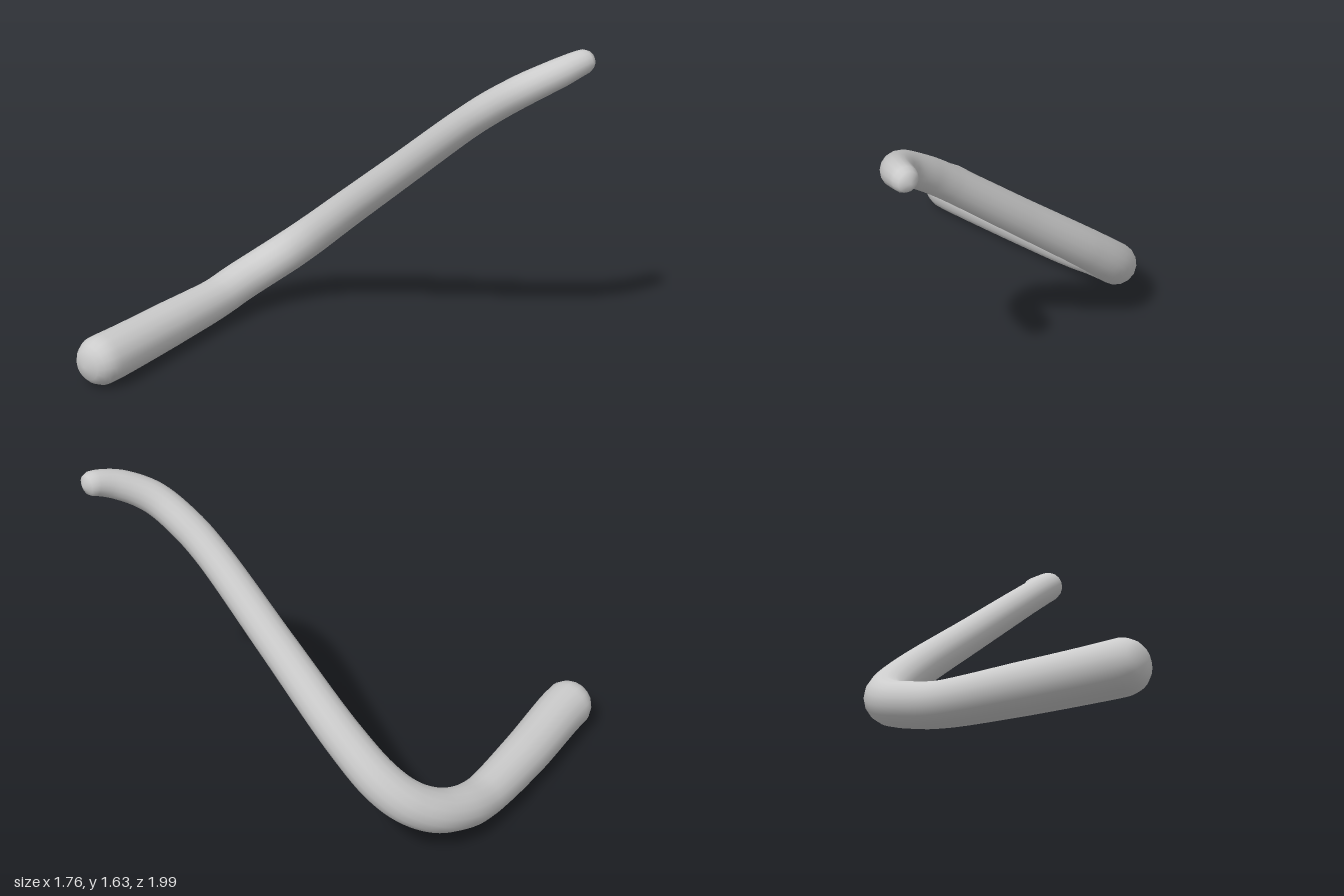
import * as THREE from 'three';
import { mergeVertices } from 'three/addons/utils/BufferGeometryUtils.js';

// Centre line of the bent rod with its radius: x, y, z, r
const STATIONS = [
  [-0.525, 0.138, 0.995, 0.125],
  [-0.555, 0.138, 0.83, 0.124],
  [-0.67, 0.135, 0.4, 0.117],
  [-0.76, 0.15, 0.0, 0.105],
  [-0.775, 0.185, -0.15, 0.105],
  [-0.755, 0.24, -0.3, 0.105],
  [-0.69, 0.32, -0.42, 0.105],
  [-0.59, 0.42, -0.495, 0.102],
  [-0.4, 0.59, -0.545, 0.096],
  [0.0, 0.92, -0.578, 0.087],
  [0.4, 1.25, -0.61, 0.08],
  [0.54, 1.36, -0.64, 0.079],
  [0.69, 1.47, -0.705, 0.076],
  [0.785, 1.543, -0.82, 0.07],
  [0.82, 1.58, -0.93, 0.06],
  [0.825, 1.585, -0.995, 0.058],
];

// Tube whose rings are scaled to a tapering radius, closed by round ends
function taperedRod(stations, rings, sides) {
  const curve = new THREE.CatmullRomCurve3(
    stations.map(([x, y, z]) => new THREE.Vector3(x, y, z)), false, 'centripetal');
  curve.arcLengthDivisions = 600;
  const length = curve.getLength();
  const last = stations.length - 1;

  const radiusAt = (u) => {
    const t = curve.getUtoTmapping(u) * last;
    const i = Math.min(Math.floor(t), last - 1);
    const r = THREE.MathUtils.lerp(stations[i][3], stations[i + 1][3], t - i);
    const toEnd = Math.min(u, 1 - u) * length;
    const k = Math.max(0, 1 - toEnd / r);
    return r * Math.sqrt(1 - k * k);
  };

  const tube = new THREE.TubeGeometry(curve, rings, 1, sides, false);
  const pos = tube.attributes.position;
  const v = new THREE.Vector3();
  for (let i = 0; i <= rings; i++) {
    const centre = curve.getPointAt(i / rings);
    const r = radiusAt(i / rings);
    for (let j = 0; j <= sides; j++) {
      const n = i * (sides + 1) + j;
      v.fromBufferAttribute(pos, n).sub(centre).multiplyScalar(r).add(centre);
      pos.setXYZ(n, v.x, v.y, v.z);
    }
  }
  // Weld the seam and the tips so the shading is smooth
  tube.deleteAttribute('uv');
  tube.deleteAttribute('normal');
  const geometry = mergeVertices(tube, 1e-4);
  geometry.computeVertexNormals();
  return geometry;
}

export function createModel() {
  const group = new THREE.Group();
  group.name = 'bentRod';
  const rod = new THREE.Mesh(
    taperedRod(STATIONS, 160, 16),
    new THREE.MeshStandardMaterial({ color: 0xcccccc }));
  rod.name = 'rod';
  group.add(rod);
  return group;
}
